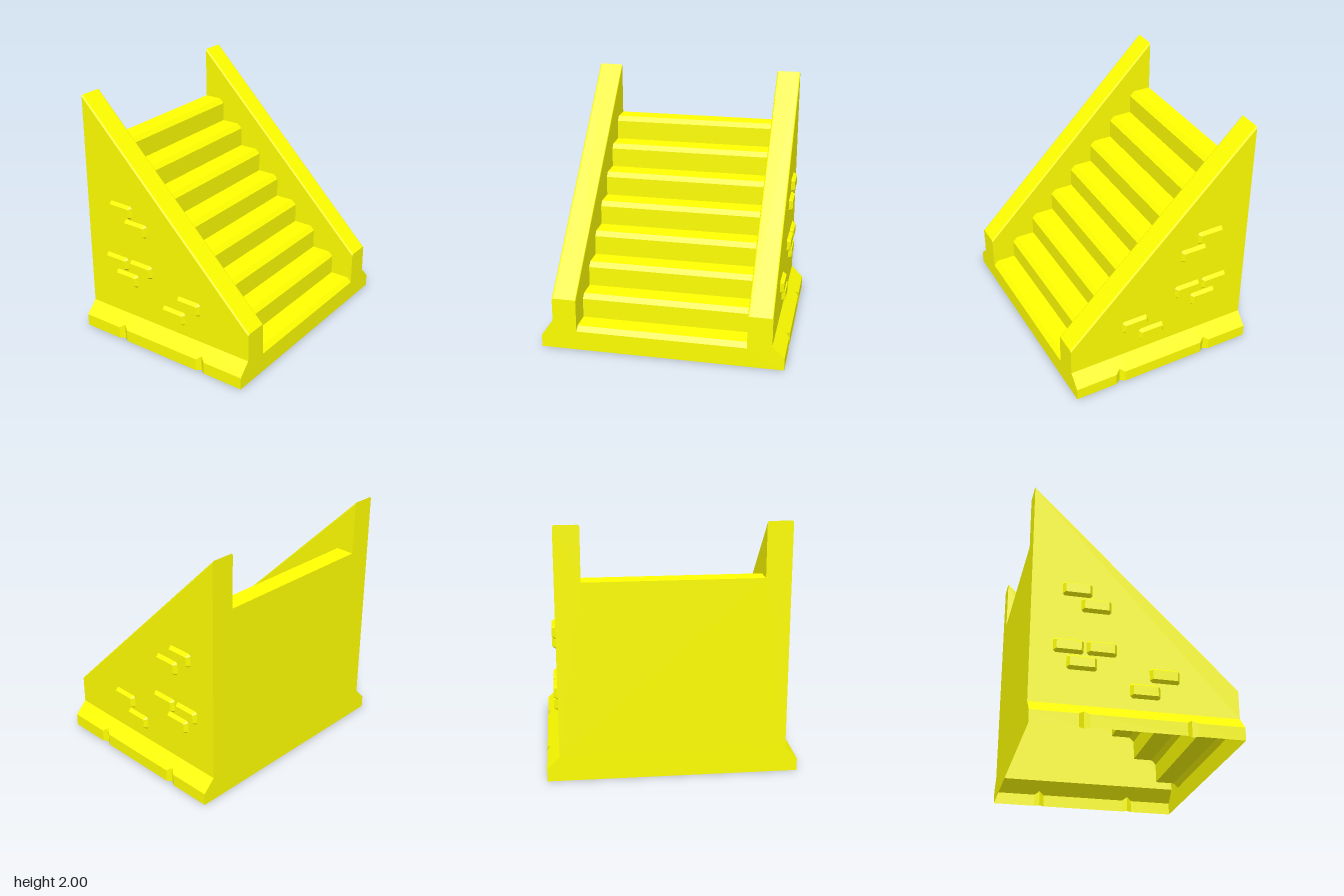
import * as THREE from 'three';

const material = new THREE.MeshStandardMaterial({ color: 0xffff00, flatShading: true, side: THREE.DoubleSide });

const D = 0.784;                // half depth
const IN = 0.687, OUT = 0.883;  // inner and outer faces of the side rails
const FOOT = 0.98;              // half width of the flared foot
const LOW = 0.432, HIGH = 2;    // rail height at the front and back
const ROUND = 0.016;            // rounding along the rail tops
const STEPS = 8, RISE = 0.1965, RUN = 0.197, NOSE = 0.037;

function named(name, geometry) {
  const mesh = new THREE.Mesh(geometry, material);
  mesh.name = name;
  return mesh;
}

// Joins successive rows of [x, y, z] points with flat quads
function loft(rows) {
  const pos = [];
  for (let r = 0; r + 1 < rows.length; r++) {
    const a = rows[r], b = rows[r + 1];
    for (let i = 0; i + 1 < a.length; i++) {
      pos.push(...a[i], ...a[i + 1], ...b[i + 1], ...a[i], ...b[i + 1], ...b[i]);
    }
  }
  const g = new THREE.BufferGeometry();
  g.setAttribute('position', new THREE.Float32BufferAttribute(pos, 3));
  g.computeVertexNormals();
  return g;
}

function flat(points) {
  return new THREE.ShapeGeometry(new THREE.Shape(points.map(p => new THREE.Vector2(...p))));
}

// Rounded rail top as [x, drop], from the inner face to the outer face
function railSection() {
  const p = [], n = 4;
  for (const [cx, start] of [[IN + ROUND, Math.PI], [OUT - ROUND, Math.PI / 2]]) {
    for (let i = 0; i <= n; i++) {
      const a = start - (i / n) * Math.PI / 2;
      p.push([cx + ROUND * Math.cos(a), ROUND * (Math.sin(a) - 1)]);
    }
  }
  return p;
}

// Stair profile as [z, y], front to back
function stairProfile() {
  const p = [];
  for (let k = 1; k <= STEPS; k++) {
    const z = D - (k - 1) * RUN, y = k * RISE;
    p.push([z, y - NOSE], [z - NOSE, y], [k === STEPS ? -D : z - RUN, y]);
  }
  return p;
}

// End face: flared foot, two rail ends and the panel between them
function endFace(railTop, panelTop) {
  const rail = railSection().reverse().map(([x, d]) => [x, railTop + d]);
  const half = [[FOOT, 0], [FOOT, 0.1], [OUT, 0.2], ...rail, [IN, panelTop]];
  return flat([...half, ...half.map(([x, y]) => [-x, y]).reverse()]);
}

// Raised brick with cut corners and sloping edges, on the +x wall
function brick(z, y) {
  const ring = (x, w, h, c) => {
    const o = [[-w + c, -h], [w - c, -h], [w, -h + c], [w, h - c], [w - c, h], [-w + c, h], [-w, h - c], [-w, -h + c]];
    return [...o, o[0]].map(([u, v]) => [x, y + v, z - u]);
  };
  return loft([
    ring(OUT, 0.113, 0.057, 0.016),
    ring(0.914, 0.092, 0.037, 0.003),
    ring(0.914, 0, 0, 0),
  ]);
}

function createSide() {
  const side = new THREE.Group();

  // Outer wall
  const outer = flat([[-D, 0.2], [D, 0.2], [D, HIGH - ROUND], [-D, LOW - ROUND]]);
  side.add(named('outerWall', outer.rotateY(Math.PI / 2).translate(OUT, 0, 0)));

  // Inner wall, only above the stairs
  const inner = flat([...stairProfile(), [-D, HIGH - ROUND], [D, LOW - ROUND]]);
  side.add(named('innerWall', inner.rotateY(-Math.PI / 2).translate(IN, 0, 0)));

  // Sloping rail top
  const section = railSection();
  side.add(named('railTop', loft([
    section.map(([x, d]) => [x, LOW + d, D]),
    section.map(([x, d]) => [x, HIGH + d, -D]),
  ])));

  // Flared foot with two V notches
  const plan = [[FOOT, D]];
  for (const z of [0.393, -0.393]) plan.push([FOOT, z + 0.04], [FOOT - 0.027, z], [FOOT, z - 0.04]);
  plan.push([FOOT, -D]);
  side.add(named('foot', loft([
    plan.map(([x, z]) => [x, 0, z]),
    plan.map(([x, z]) => [x, 0.1 + FOOT - x, z]),
    plan.map(([, z]) => [OUT, 0.2, z]),
  ])));

  // Bricks as [z, y]
  const bricks = [[-0.437, 1.126], [-0.293, 1.002], [-0.252, 0.655], [-0.499, 0.655],
    [-0.4, 0.529], [0.22, 0.482], [0.071, 0.348]];
  for (const [z, y] of bricks) side.add(named('brick', brick(z, y)));
  return side;
}

export function createModel() {
  const model = new THREE.Group();
  model.name = 'staircase';

  // Stairs, open underneath
  const profile = stairProfile();
  model.add(named('stairs', loft([IN, -IN].map(x => profile.map(([z, y]) => [x, y, z])))));

  // Front and back
  model.add(named('frontFace', endFace(LOW, RISE - NOSE).translate(0, 0, D)));
  model.add(named('backWall', endFace(HIGH, STEPS * RISE).rotateY(Math.PI).translate(0, 0, -D)));

  // Mirrored sides
  for (const s of [1, -1]) {
    const side = createSide();
    side.name = s > 0 ? 'leftSide' : 'rightSide';
    side.scale.x = s;
    model.add(side);
  }
  return model;
}
